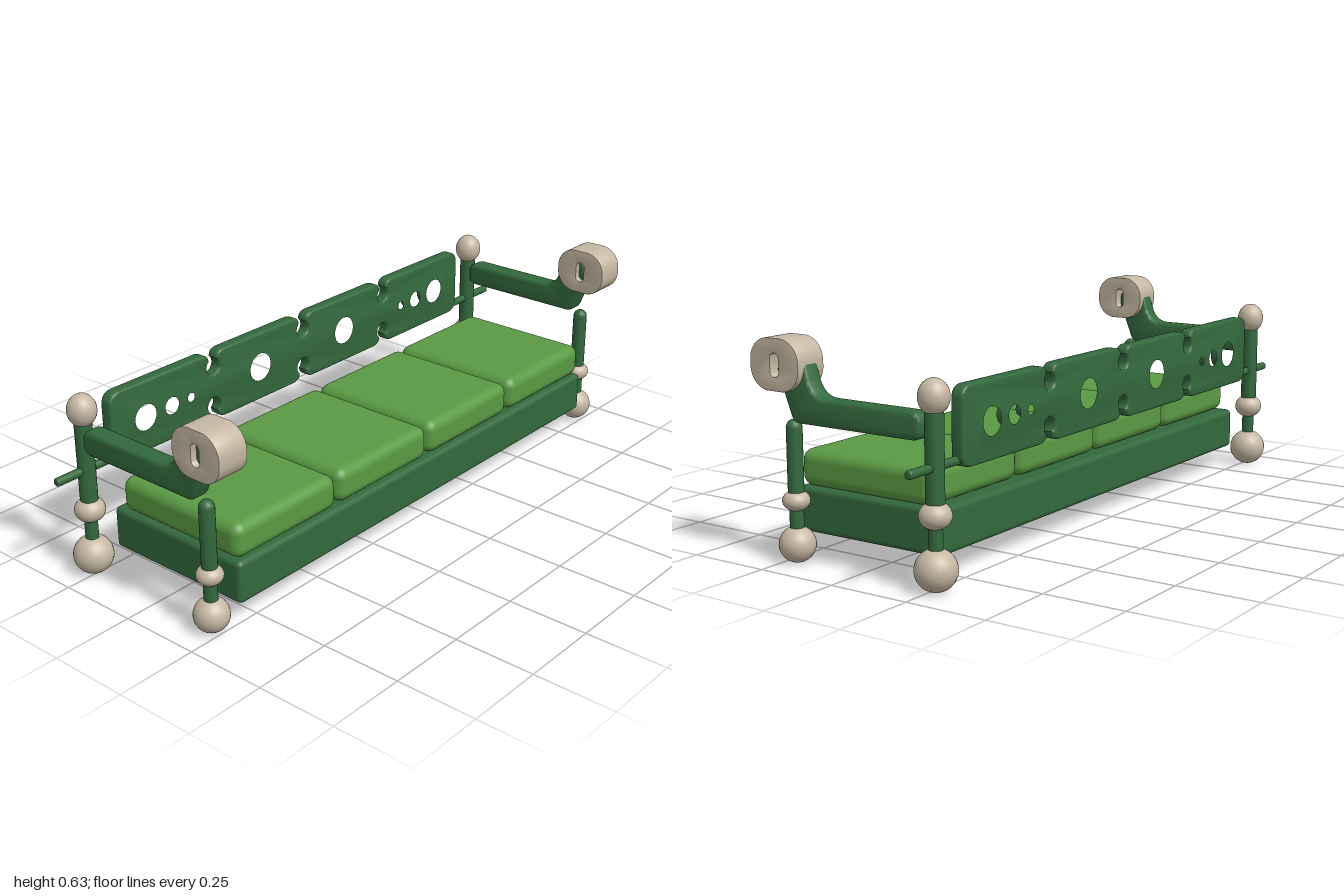
import * as THREE from 'three';
import { toCreasedNormals } from 'three/addons/utils/BufferGeometryUtils.js';
import { RoundedBoxGeometry } from 'three/addons/geometries/RoundedBoxGeometry.js';

const mat = (name, color) => {
  const m = new THREE.MeshStandardMaterial({ color });
  m.name = name;
  return m;
};

// Centred extrusion with bevels that stay inside the outline
function slab(shape, depth, bevel, curveSegments = 10) {
  const g = new THREE.ExtrudeGeometry(shape, {
    depth: depth - 2 * bevel, bevelThickness: bevel, bevelSize: bevel,
    bevelOffset: -bevel, bevelSegments: 3, curveSegments,
  });
  g.translate(0, 0, bevel - depth / 2);
  return toCreasedNormals(g, 0.6);
}

function circleHole(x, y, r) {
  const p = new THREE.Path();
  p.absarc(x, y, r, 0, Math.PI * 2, true);
  return p;
}

// Backrest: four rounded panels joined by necks with keyhole notches
function backrestShape() {
  const end = 0.803, top = 0.53, bottom = 0.31, r = 0.04;
  const gap = 0.016, notchR = 0.026, cr = 0.033;
  const seams = [-0.397, 0, 0.397];
  const s = new THREE.Shape();
  const dip = Math.sqrt(notchR ** 2 - gap ** 2);
  const a = Math.atan2(dip, gap);
  s.moveTo(-end, bottom + r);
  s.lineTo(-end, top - r);
  s.quadraticCurveTo(-end, top, -end + r, top);
  for (const x of seams) {
    const cy = 0.484;
    s.lineTo(x - gap - cr, top);
    s.quadraticCurveTo(x - gap, top, x - gap, cy + dip);
    s.absarc(x, cy, notchR, Math.PI - a, a, false);
    s.quadraticCurveTo(x + gap, top, x + gap + cr, top);
  }
  s.lineTo(end - r, top);
  s.quadraticCurveTo(end, top, end, top - r);
  s.lineTo(end, bottom + r);
  s.quadraticCurveTo(end, bottom, end - r, bottom);
  for (const x of [...seams].reverse()) {
    const cy = 0.356;
    s.lineTo(x + gap + cr, bottom);
    s.quadraticCurveTo(x + gap, bottom, x + gap, cy - dip);
    s.absarc(x, cy, notchR, -a, Math.PI + a, false);
    s.quadraticCurveTo(x - gap, bottom, x - gap - cr, bottom);
  }
  s.lineTo(-end + r, bottom);
  s.quadraticCurveTo(-end, bottom, -end, bottom + r);
  for (const k of [-1, 1]) {
    for (const [x, hr] of [[0.197, 0.052], [0.673, 0.048], [0.57, 0.034], [0.493, 0.021]]) {
      s.holes.push(circleHole(k * x, 0.418, hr));
    }
  }
  return s;
}

// Arm side profile, drawn as (z, y)
function armShape() {
  const s = new THREE.Shape();
  s.moveTo(-0.205, 0.397);
  s.lineTo(0.175, 0.397);
  s.quadraticCurveTo(0.196, 0.397, 0.204, 0.418);
  s.lineTo(0.246, 0.525);
  s.quadraticCurveTo(0.258, 0.57, 0.222, 0.588);
  s.quadraticCurveTo(0.172, 0.605, 0.156, 0.575);
  s.lineTo(0.138, 0.518);
  s.quadraticCurveTo(0.122, 0.472, 0.075, 0.472);
  s.lineTo(-0.205, 0.472);
  s.quadraticCurveTo(-0.236, 0.472, -0.236, 0.442);
  s.lineTo(-0.236, 0.427);
  s.quadraticCurveTo(-0.236, 0.397, -0.205, 0.397);
  return s;
}

// Rounded hand rest with an upright slot, drawn as (z, y)
function rollShape() {
  const z0 = 0.151, z1 = 0.324, y0 = 0.483, y1 = 0.627, r = 0.064;
  const s = new THREE.Shape();
  s.absarc(z1 - r, y1 - r, r, 0, Math.PI / 2);
  s.absarc(z0 + r, y1 - r, r, Math.PI / 2, Math.PI);
  s.absarc(z0 + r, y0 + r, r, Math.PI, Math.PI * 1.5);
  s.absarc(z1 - r, y0 + r, r, Math.PI * 1.5, Math.PI * 2);
  s.closePath();
  const slot = new THREE.Path();
  slot.absarc(0.237, 0.572, 0.015, 0, Math.PI);
  slot.absarc(0.237, 0.536, 0.015, Math.PI, Math.PI * 2);
  slot.closePath();
  s.holes.push(slot);
  return s;
}

// Post with softly rounded ends
function postGeometry(r, y0, y1, round) {
  const pts = [new THREE.Vector2(0, y0)];
  for (let i = 0; i <= 5; i++) {
    const t = (i / 5) * Math.PI / 2;
    pts.push(new THREE.Vector2(r - round + round * Math.sin(t), y0 + round - round * Math.cos(t)));
  }
  for (let i = 0; i <= 5; i++) {
    const t = (i / 5) * Math.PI / 2;
    pts.push(new THREE.Vector2(Math.max(0, r - round + round * Math.cos(t)), y1 - round + round * Math.sin(t)));
  }
  if (round < r) pts.push(new THREE.Vector2(0, y1));
  return new THREE.LatheGeometry(pts, 24);
}

export function createModel() {
  const model = new THREE.Group();
  model.name = 'sofa';
  const frame = mat('dark green frame', 0x33693d);
  const fabric = mat('light green fabric', 0x5a9a43);
  const cream = mat('cream trim', 0xc6b8a3);

  const add = (parent, name, geo, material, x = 0, y = 0, z = 0) => {
    const m = new THREE.Mesh(geo, material);
    m.name = name;
    m.position.set(x, y, z);
    parent.add(m);
    return m;
  };
  const ball = (parent, name, r, ry, y) =>
    add(parent, name, new THREE.SphereGeometry(r, 24, 16), cream, 0, y).scale.set(1, ry / r, 1);

  // Seat
  add(model, 'base', new RoundedBoxGeometry(1.66, 0.13, 0.501, 3, 0.016), frame, 0, 0.133, 0.02);
  for (const x of [-0.624, -0.208, 0.208, 0.624]) {
    add(model, 'cushion', new RoundedBoxGeometry(0.406, 0.106, 0.461, 4, 0.032), fabric, x, 0.25, 0.0325);
  }

  // Backrest
  add(model, 'backrest', slab(backrestShape(), 0.04, 0.007), frame, 0, 0, -0.268);

  const armGeo = slab(armShape(), 0.06, 0.012).rotateY(-Math.PI / 2);
  const rollGeo = slab(rollShape(), 0.1, 0.001).rotateY(-Math.PI / 2);

  for (const side of [-1, 1]) {
    const x = side * 0.89;
    const label = side > 0 ? 'left' : 'right';

    // Front leg
    const front = new THREE.Group();
    front.name = label + 'FrontLeg';
    front.position.set(x, 0, 0.218);
    ball(front, 'foot', 0.052, 0.0515, 0.0515);
    add(front, 'lowerPost', new THREE.CylinderGeometry(0.02, 0.02, 0.1, 24), frame, 0, 0.13);
    ball(front, 'collar', 0.039, 0.0295, 0.175);
    add(front, 'upperPost', postGeometry(0.0225, 0.17, 0.402, 0.0225), frame);

    // Back leg
    const back = new THREE.Group();
    back.name = label + 'BackLeg';
    back.position.set(x, 0, -0.263);
    ball(back, 'foot', 0.059, 0.0585, 0.0585);
    add(back, 'lowerPost', new THREE.CylinderGeometry(0.0195, 0.0195, 0.13, 24), frame, 0, 0.155);
    ball(back, 'collar', 0.045, 0.038, 0.204);
    add(back, 'upperPost', postGeometry(0.026, 0.228, 0.482, 0.01), frame);
    ball(back, 'finial', 0.043, 0.049, 0.514);
    model.add(front, back);

    // Rod from the backrest through the back leg
    const rod = add(model, 'rod', postGeometry(0.0125, -0.11, 0.11, 0.005), frame, side * 0.89, 0.331, -0.263);
    rod.rotation.z = Math.PI / 2;

    // Armrest
    add(model, label + 'Arm', armGeo, frame, x);
    add(model, label + 'HandRest', rollGeo, cream, x);
  }
  return model;
}
